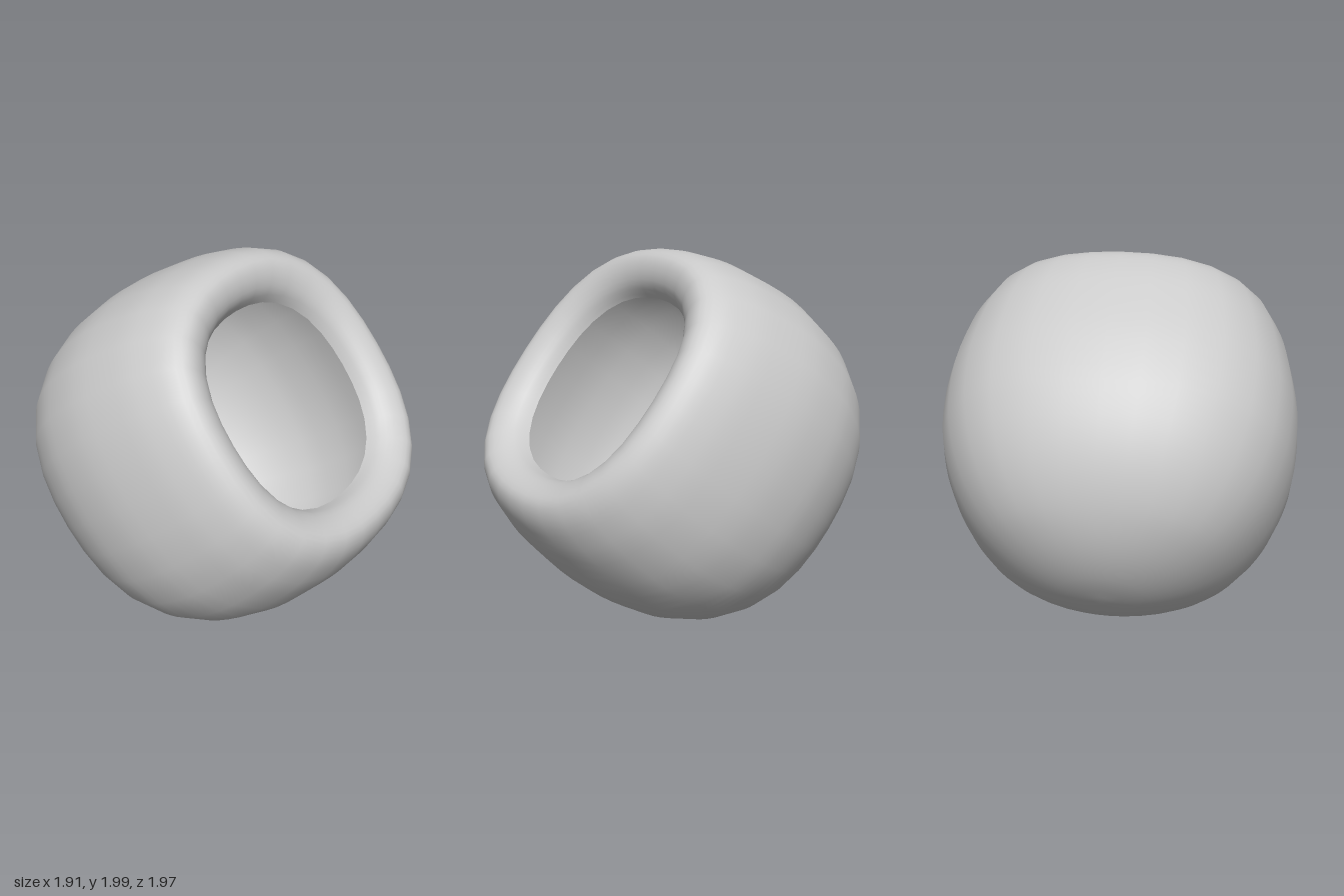
import * as THREE from 'three';
import { mergeVertices } from 'three/addons/utils/BufferGeometryUtils.js';

const SEGMENTS = 32;
const WALL = 0.012;
const TILT = 0.902; // opening leans from straight up towards the front
const RADIUS = 0.954, DEPTH = 0.995, FULLNESS = 2.12; // rounded base
const SQUARENESS = 0.065; // how far the four corners bulge

// Shoulder and curled lip as [radius, distance along axis]
const FRONT = [
  [0.952, 0.06], [0.91, 0.33], [0.86, 0.49], [0.8, 0.605],
  [0.725, 0.663], [0.645, 0.65], [0.58, 0.6], [0.545, 0.527],
];

// Closed thin wall: the outer curve, then the same curve offset inwards and reversed
function shellProfile() {
  const points = [];
  for (let i = 0; i < 9; i++) {
    const t = (i / 9) * Math.PI / 2;
    points.push(new THREE.Vector2(
      RADIUS * Math.sin(t) ** (2 / FULLNESS),
      -DEPTH * Math.cos(t) ** (2 / FULLNESS),
    ));
  }
  for (const [r, h] of FRONT) points.push(new THREE.Vector2(r, h));

  const curve = new THREE.SplineCurve(points);
  const count = 48;
  const outer = [], inner = [];
  for (let i = 0; i <= count; i++) {
    const p = curve.getPoint(i / count);
    const t = curve.getTangent(i / count);
    const q = new THREE.Vector2(p.x - t.y * WALL, p.y + t.x * WALL);
    if (i === 0) p.x = q.x = 0;
    outer.push(p);
    inner.unshift(q);
  }
  return { outer, inner };
}

// Revolved surface whose round section is swollen towards four soft corners
function softSquareLathe(profile) {
  let geometry = new THREE.LatheGeometry(profile, SEGMENTS);
  const pos = geometry.attributes.position;
  for (let i = 0; i < pos.count; i++) {
    const x = pos.getX(i), z = pos.getZ(i);
    const blend = Math.min(1, (Math.hypot(x, z) / 0.6) ** 2);
    const swell = 1 + SQUARENESS * blend * Math.sin(2 * Math.atan2(x, z)) ** 2;
    pos.setX(i, x * swell);
    pos.setZ(i, z * swell);
  }
  // Weld the seam so the shading runs round smoothly
  geometry.deleteAttribute('uv');
  geometry.deleteAttribute('normal');
  geometry = mergeVertices(geometry, 1e-5);
  geometry.computeVertexNormals();
  return geometry;
}

export function createModel() {
  const group = new THREE.Group();
  group.name = 'tiltedBowl';
  const material = new THREE.MeshStandardMaterial({ color: 0xcccccc });
  const { outer, inner } = shellProfile();

  // Outside skin, lip edge and inside skin share one axis
  const parts = {
    outerWall: outer,
    lipEdge: [outer[outer.length - 1], inner[0]],
    innerWall: inner,
  };
  const bowl = new THREE.Group();
  bowl.name = 'bowl';
  for (const [name, profile] of Object.entries(parts)) {
    const mesh = new THREE.Mesh(softSquareLathe(profile), material);
    mesh.name = name;
    bowl.add(mesh);
  }

  bowl.rotation.x = TILT;
  bowl.position.set(0, 0.992, 0.004);
  group.add(bowl);
  return group;
}
